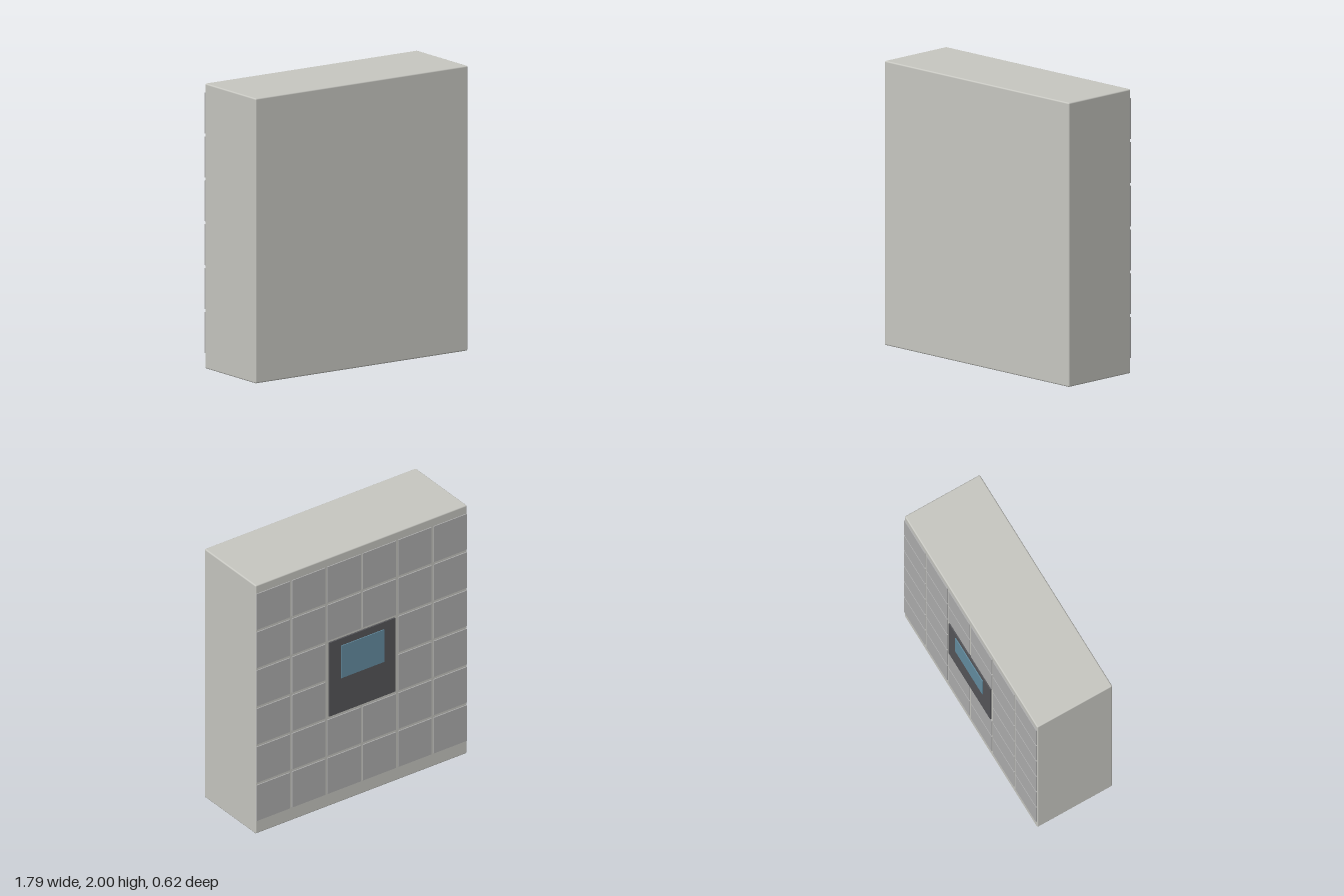
import * as THREE from 'three';
import { RoundedBoxGeometry } from 'three/addons/geometries/RoundedBoxGeometry.js';

const BACK = -0.29; // rear face of the cabinet, which carries the doors

export function createModel() {
  const group = new THREE.Group();
  const paint = (color) => new THREE.MeshStandardMaterial({ color });
  const bodyMat = paint(0xc8c8c2);
  const doorMat = paint(0xafafaf);
  const consoleMat = paint(0x56565a);
  const screenMat = paint(0x658ea2);

  const add = (name, geometry, material, x, y, z) => {
    const mesh = new THREE.Mesh(geometry, material);
    mesh.name = name;
    mesh.position.set(x, y, z);
    group.add(mesh);
  };

  // Cabinet with softly rounded edges
  add('cabinet', new RoundedBoxGeometry(1.79, 2, 0.598, 2, 0.01), bodyMat, 0, 1, 0.009);

  // Six by six grid of locker doors, leaving the middle four places free
  const doorGeometry = new THREE.BoxGeometry(0.28, 0.287, 0.02);
  for (let row = 0; row < 6; row++) {
    for (let col = 0; col < 6; col++) {
      const middle = (n) => n === 2 || n === 3;
      if (middle(row) && middle(col)) continue;
      add('lockerDoor', doorGeometry, doorMat,
        (col - 2.5) * 0.3, 1.02 + (row - 2.5) * 0.308, BACK + 0.003);
    }
  }

  // Control panel with its raised screen
  add('controlPanel', new THREE.BoxGeometry(0.56, 0.592, 0.03), consoleMat, 0, 1.024, BACK + 0.003);
  add('screen', new THREE.BoxGeometry(0.366, 0.26, 0.02), screenMat, 0, 1.135, BACK - 0.008);

  return group;
}
